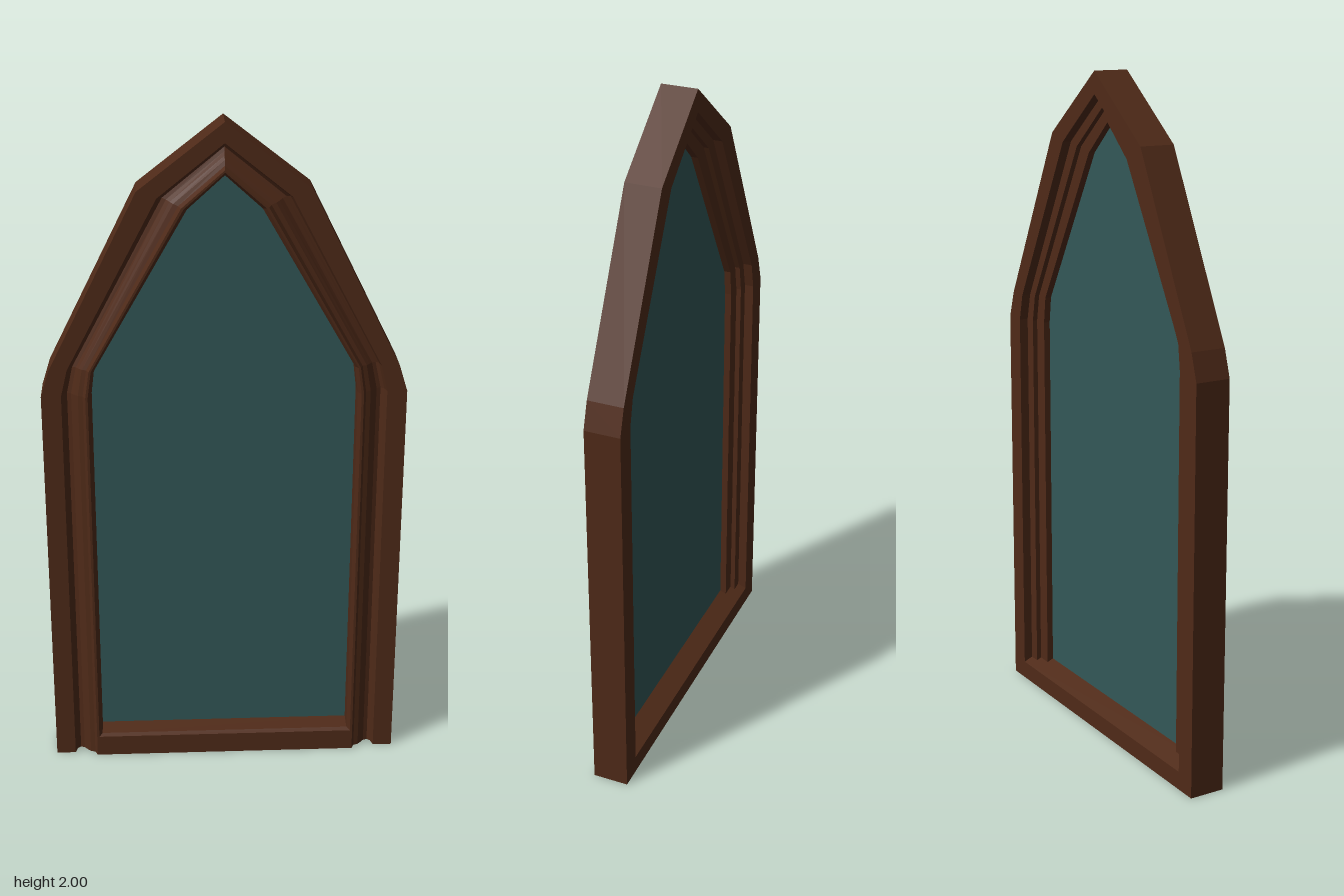
import * as THREE from 'three';

const wood = new THREE.MeshStandardMaterial({ color: 0x4f2a18, flatShading: true });
const pane = new THREE.MeshStandardMaterial({ color: 0x335858, side: THREE.DoubleSide });

// Half outlines of the pointed arch, from the foot of the jamb up to the apex
const OUTER = [[0.53, 0], [0.53, 1.21], [0.505, 1.29], [0.245, 1.81], [0, 2]];
const INNER = [[0.385, 0], [0.385, 1.21], [0.375, 1.29], [0.105, 1.76], [0, 1.855]];

// Moulding section at the jamb as [x, z]: flat border, cove, raised bead, stepped back
const SECTION = [
  [0.53, -0.0625], [0.53, 0.045], [0.472, 0.045], [0.466, 0.022], [0.456, 0.014],
  [0.444, 0.018], [0.434, 0.03], [0.424, 0.04], [0.41, 0.045], [0.402, 0.0625],
  [0.395, 0.0625], [0.385, 0.05], [0.385, -0.02], [0.43, -0.02], [0.43, -0.035], [0.465, -0.035],
  [0.465, -0.0625],
];

const mirrored = (half) => [...half, ...half.slice(0, -1).reverse().map(([x, y]) => [-x, y])];

function mesh(name, geometry, material) {
  const m = new THREE.Mesh(geometry, material);
  m.name = name;
  return m;
}

// Sweep the section round the arch by blending between the two outlines
function archGeometry() {
  const outer = mirrored(OUTER), inner = mirrored(INNER);
  const rings = outer.map(([ox, oy], i) => SECTION.map(([x, z]) => {
    const t = (0.53 - x) / 0.145;
    return [ox + (inner[i][0] - ox) * t, oy + (inner[i][1] - oy) * t, z];
  }));
  const pos = [];
  const tri = (a, b, c) => pos.push(...a, ...b, ...c);
  const n = SECTION.length;
  for (let i = 0; i < rings.length - 1; i++) {
    const a = rings[i], b = rings[i + 1];
    for (let p = 0; p < n; p++) {
      const q = (p + 1) % n;
      tri(a[p], b[p], b[q]);
      tri(a[p], b[q], a[q]);
    }
  }
  // Feet of both jambs, facing down
  const caps = THREE.ShapeUtils.triangulateShape(SECTION.map(([x, z]) => new THREE.Vector2(x, z)), []);
  for (const ring of [rings[0], rings[rings.length - 1]]) {
    for (const f of caps) {
      const [a, b, c] = f.map((k) => ring[k]);
      const ny = (b[2] - a[2]) * (c[0] - a[0]) - (b[0] - a[0]) * (c[2] - a[2]);
      if (ny < 0) tri(a, b, c); else tri(a, c, b);
    }
  }
  const g = new THREE.BufferGeometry();
  g.setAttribute('position', new THREE.Float32BufferAttribute(pos, 3));
  g.computeVertexNormals();
  return g;
}

// Bar running along x with a section given as [z, y]
function barGeometry(points, halfWidth) {
  const shape = new THREE.Shape(points.map(([z, y]) => new THREE.Vector2(-z, y)));
  const g = new THREE.ExtrudeGeometry(shape, { depth: halfWidth * 2, bevelEnabled: false });
  return g.translate(0, 0, -halfWidth).rotateY(Math.PI / 2);
}

export function createModel() {
  const group = new THREE.Group();
  group.name = 'archedWindow';
  group.add(mesh('archFrame', archGeometry(), wood));

  // Sill: front half between the beads, back half between the rear steps
  group.add(mesh('sillFront', barGeometry([[0, 0], [0.0625, 0], [0.0625, 0.066], [0.05, 0.072], [0, 0.082]], 0.402), wood));
  group.add(mesh('sillBack', barGeometry([[-0.0625, 0], [0, 0], [0, 0.082], [-0.0625, 0.055]], 0.465), wood));

  // Glass pane
  const outline = mirrored(INNER).map(([x, y]) => new THREE.Vector2(x, Math.max(y, 0.075)));
  group.add(mesh('glass', new THREE.ShapeGeometry(new THREE.Shape(outline)), pane));
  return group;
}
